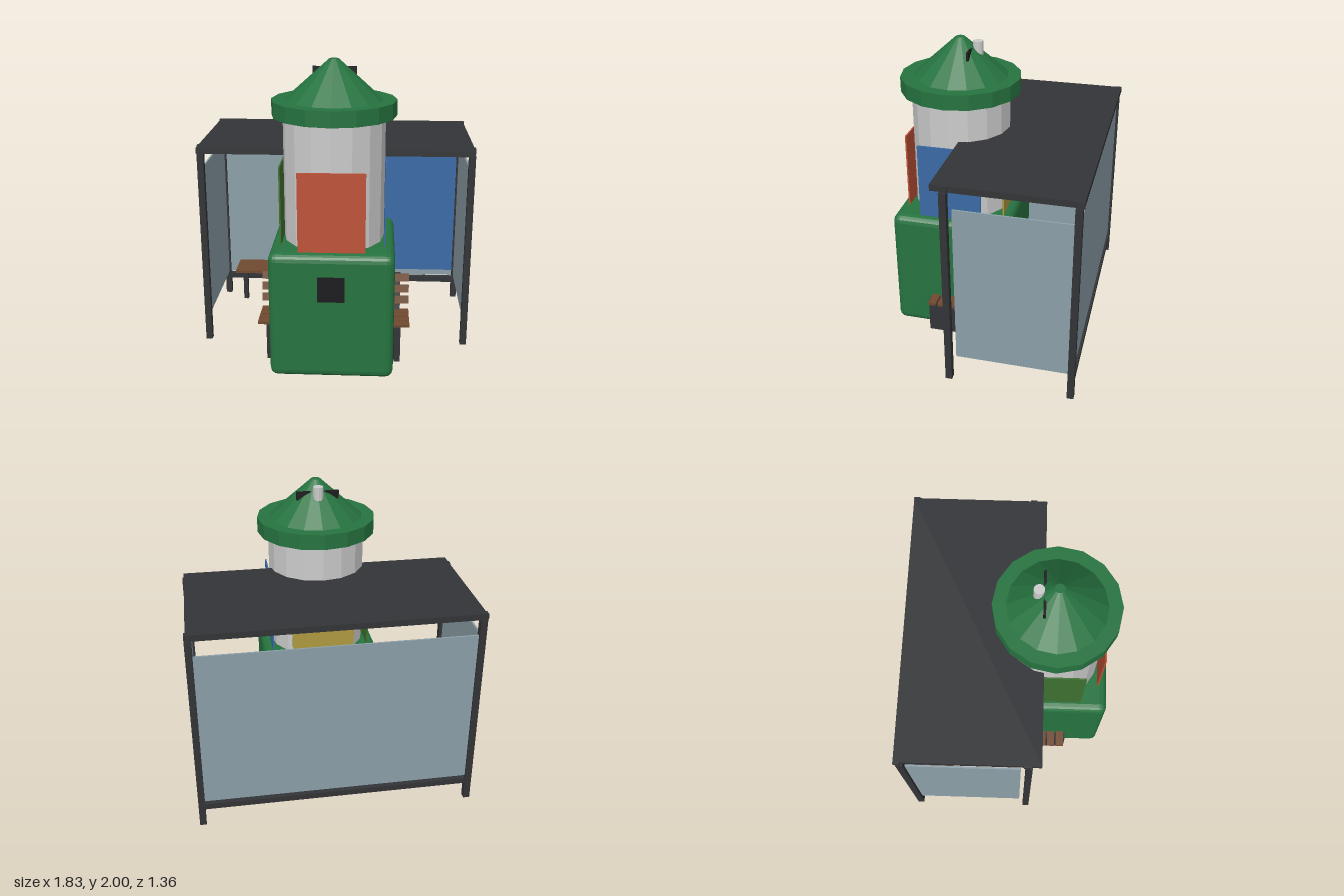
import * as THREE from 'three';
import { RoundedBoxGeometry } from 'three/addons/geometries/RoundedBoxGeometry.js';

const mat = (color) => new THREE.MeshStandardMaterial({ color, flatShading: true });
const M = {
  grey: mat(0xcccccc), green: mat(0x267340), dark: mat(0x333437), black: mat(0x1c1c1e),
  glass: mat(0x8c9fa8), wood: mat(0x704a30), red: mat(0xbf5238), blue: mat(0x3a6aa6),
  yellow: mat(0xb09a40), olive: mat(0x3f7030),
};

function add(parent, name, geometry, material, x = 0, y = 0, z = 0) {
  const mesh = new THREE.Mesh(geometry, material);
  mesh.name = name;
  mesh.position.set(x, y, z);
  parent.add(mesh);
  return mesh;
}

// box given by its extents along each axis
function box(parent, name, material, [x0, x1], [y0, y1], [z0, z1]) {
  return add(parent, name, new THREE.BoxGeometry(x1 - x0, y1 - y0, z1 - z0), material,
    (x0 + x1) / 2, (y0 + y1) / 2, (z0 + z1) / 2);
}

function group(parent, name) {
  const g = new THREE.Group();
  g.name = name;
  parent.add(g);
  return g;
}

function buildTower(root) {
  const tower = group(root, 'tower');
  tower.position.z = 0.2825;
  const drum = (name, material, rTop, rBottom, y0, y1) =>
    add(tower, name, new THREE.CylinderGeometry(rTop, rBottom, y1 - y0, 16), material, 0, (y0 + y1) / 2, 0);

  add(tower, 'base', new RoundedBoxGeometry(0.79, 0.84, 0.785, 2, 0.05), M.green, 0, 0.43, 0);
  drum('column', M.grey, 0.325, 0.325, 0, 1.66);
  drum('roofRim', M.green, 0.395, 0.395, 1.65, 1.75);
  drum('roofCone', M.green, 0.03, 0.31, 1.75, 2);
  box(tower, 'hatch', M.black, [-0.085, 0.085], [0.545, 0.71], [0.38, 0.4]);

  // one poster on each side of the column
  [['front', M.red], ['left', M.blue], ['back', M.yellow], ['right', M.olive]].forEach(([side, m], i) => {
    const holder = group(tower, side + 'Poster');
    holder.rotation.y = i * Math.PI / 2;
    box(holder, 'poster', m, [-0.21, 0.21], [0.84, 1.36], [0.325, 0.335]);
  });

  // vent pipe and cross bar on the roof
  add(tower, 'ventPipe', new THREE.CylinderGeometry(0.033, 0.033, 0.2, 12), M.grey, 0, 1.88, -0.1175);
  box(tower, 'ventBar', M.black, [-0.14, 0.14], [1.885, 1.94], [-0.09, -0.075]);
}

function buildShelter(root) {
  const shelter = group(root, 'shelter');
  box(shelter, 'roof', M.dark, [-0.905, 0.905], [1.367, 1.407], [-0.68, 0.22]);
  for (const s of [-1, 1]) {
    for (const z of [-0.65, 0.143])
      add(shelter, 'post', new THREE.BoxGeometry(0.043, 1.36, 0.043), M.dark, s * 0.893, 0.68, z);
    add(shelter, 'sideGlass', new THREE.BoxGeometry(0.012, 1.07, 0.72), M.glass, s * 0.89, 0.715, -0.267);
    // roof end brackets
    for (const z of [-0.66, 0.133])
      add(shelter, 'bracket', new THREE.BoxGeometry(0.012, 0.038, 0.043), M.dark, s * 0.908, 1.387, z);
  }
  box(shelter, 'rearGlass', M.glass, [-0.875, 0.875], [0.18, 1.25], [-0.656, -0.644]);
  box(shelter, 'rearRail', M.dark, [-0.875, 0.875], [0.125, 0.165], [-0.67, -0.63]);
  box(shelter, 'rearPoster', M.blue, [0.33, 0.87], [0.23, 1.19], [-0.642, -0.625]);

  // bench under the roof
  const bench = group(shelter, 'innerBench');
  box(bench, 'seat', M.wood, [-0.79, 0.33], [0.265, 0.287], [-0.62, -0.4]);
  for (const x of [-0.733, 0.273])
    box(bench, 'leg', M.dark, [x - 0.017, x + 0.017], [0.01, 0.265], [-0.527, -0.493]);
}

// slatted seat fixed to each flank of the tower
function buildSideSeat(root, s) {
  const seat = group(root, s > 0 ? 'leftSideSeat' : 'rightSideSeat');
  const part = (name, m, w, h, d, x, y, z) =>
    add(seat, name, new THREE.BoxGeometry(w, h, d), m, s * x, y, z);

  part('seatBase', M.dark, 0.042, 0.245, 0.265, 0.425, 0.1225, 0.29);
  for (let i = 0; i < 4; i++)
    part('seatSlat', M.wood, 0.125, 0.018, 0.054, 0.4425, 0.255, 0.382 - i * 0.066);

  // leaning backrest
  const lean = -0.24;
  part('backStrut', M.dark, 0.042, 0.27, 0.025, 0.425, 0.38, 0.135).rotation.x = lean;
  for (let i = 0; i < 3; i++)
    part('backSlat', M.wood, 0.125, 0.053, 0.018, 0.4425, 0.335 + i * 0.074, 0.163 - i * 0.018).rotation.x = lean;
}

export function createModel() {
  const root = new THREE.Group();
  root.name = 'busShelterWithAdvertisingTower';
  buildTower(root);
  buildShelter(root);
  for (const s of [-1, 1]) buildSideSeat(root, s);
  return root;
}
